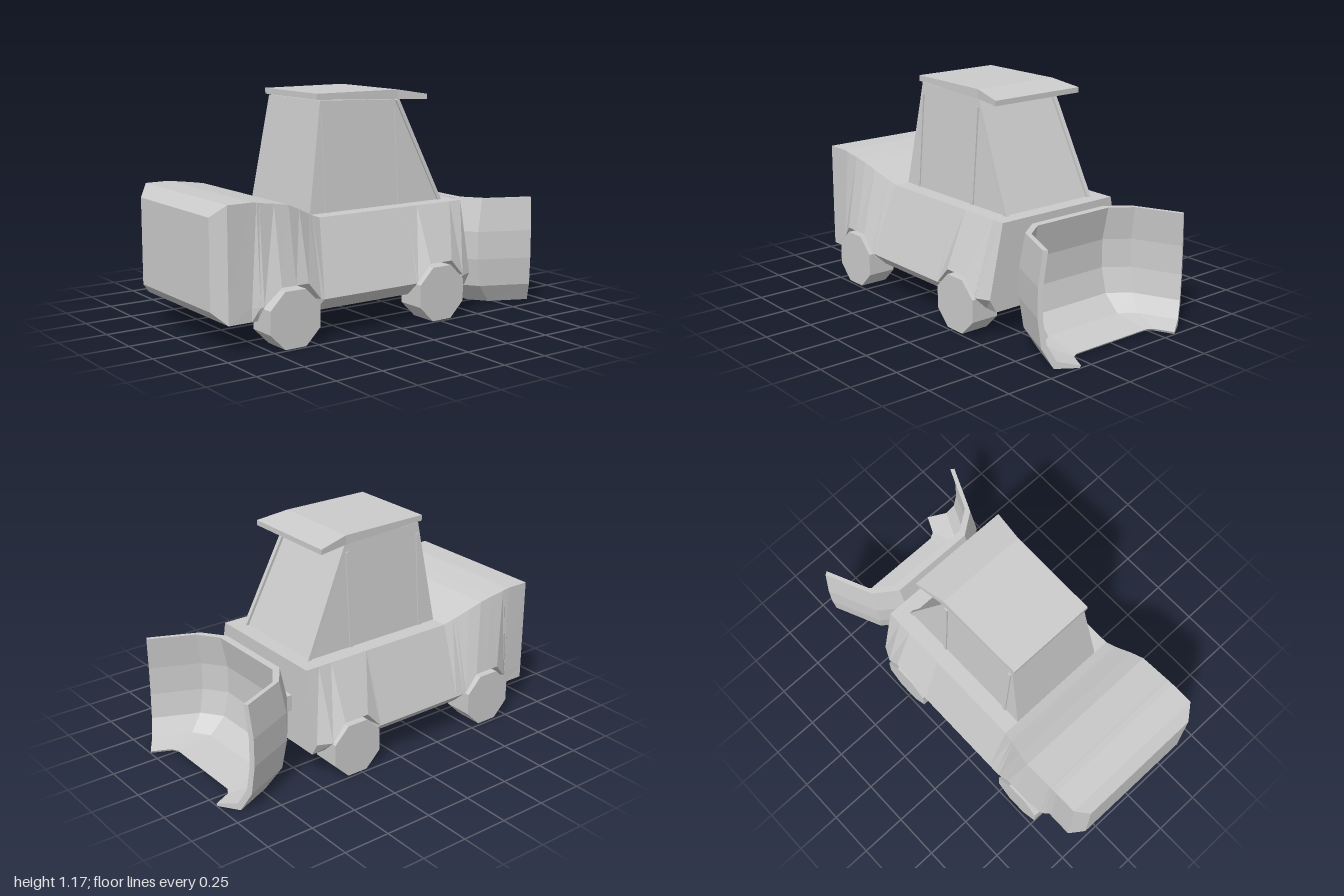
import * as THREE from 'three';

const material = new THREE.MeshStandardMaterial({ color: 0xcccccc, flatShading: true });

// Closed loft through rings; point i of a ring faces point n-1-i, so caps are quad strips.
function loft(name, rings) {
  const n = rings[0].length;
  const index = [];
  const quad = (a, b, c, d) => index.push(a, b, c, a, c, d);
  for (let r = 0; r < rings.length - 1; r++) {
    for (let i = 0; i < n; i++) {
      const j = (i + 1) % n;
      quad(r * n + i, r * n + j, (r + 1) * n + j, (r + 1) * n + i);
    }
  }
  const last = (rings.length - 1) * n;
  for (let i = 0; i < n / 2 - 1; i++) {
    quad(i, n - 1 - i, n - 2 - i, i + 1);
    quad(last + i, last + i + 1, last + n - 2 - i, last + n - 1 - i);
  }
  // Turn the faces outward if the enclosed volume is negative
  const points = rings.flat().map((p) => new THREE.Vector3(...p));
  let volume = 0;
  for (let k = 0; k < index.length; k += 3) {
    const [a, b, c] = [0, 1, 2].map((m) => points[index[k + m]]);
    volume += a.dot(b.clone().cross(c));
  }
  if (volume < 0) index.reverse();
  const indexed = new THREE.BufferGeometry().setFromPoints(points);
  indexed.setIndex(index);
  const geometry = indexed.toNonIndexed();
  geometry.computeVertexNormals();
  return named(name, geometry);
}

function named(name, geometry) {
  const mesh = new THREE.Mesh(geometry, material);
  mesh.name = name;
  return mesh;
}

// Symmetric ring at depth z from its right half, listed from top to bottom
function mirrored(z, half) {
  const side = half.map(([x, y]) => [x, y, z]);
  return [...side, ...side.map(([x, y]) => [-x, y, z]).reverse()];
}

// Thin square bar between two points
function bar(name, from, to, width, depth) {
  const a = new THREE.Vector3(...from);
  const b = new THREE.Vector3(...to);
  const mesh = named(name, new THREE.BoxGeometry(width, a.distanceTo(b), depth));
  mesh.position.copy(a).add(b).multiplyScalar(0.5);
  mesh.quaternion.setFromUnitVectors(new THREE.Vector3(0, 1, 0), b.sub(a).normalize());
  return mesh;
}

// Hull and engine hood in one loft; open arches run across above both axles
function createBody() {
  // z, top x, top y, side x, side y, bottom x, bottom y
  const stations = [
    [-0.49, 0.36, 0.585, 0.44, 0.21, 0.4, 0.14],
    [-0.415, 0.36, 0.585, 0.475, 0.21, 0.4, 0.14],
    [-0.416, 0.36, 0.585, 0.475, 0.215, 0.4, 0.205],
    [-0.34, 0.36, 0.585, 0.475, 0.3, 0.4, 0.295],
    [-0.2, 0.36, 0.585, 0.475, 0.3, 0.4, 0.295],
    [-0.122, 0.36, 0.585, 0.475, 0.215, 0.4, 0.205],
    [-0.115, 0.36, 0.585, 0.475, 0.21, 0.4, 0.14],
    [0.4, 0.36, 0.585, 0.475, 0.21, 0.4, 0.14],
    [0.45, 0.37, 0.603, 0.475, 0.21, 0.4, 0.14],
    [0.47, 0.375, 0.612, 0.475, 0.215, 0.4, 0.205],
    [0.54, 0.395, 0.645, 0.475, 0.3, 0.4, 0.295],
    [0.61, 0.41, 0.675, 0.475, 0.3, 0.4, 0.295],
    [0.69, 0.41, 0.688, 0.475, 0.3, 0.4, 0.295],
    [0.77, 0.41, 0.699, 0.45, 0.215, 0.41, 0.205],
    [0.785, 0.41, 0.702, 0.44, 0.21, 0.41, 0.14],
    [0.815, 0.41, 0.705, 0.412, 0.21, 0.41, 0.14],
    [0.94, 0.41, 0.705, 0.41, 0.21, 0.41, 0.14],
    [1.0, 0.345, 0.645, 0.345, 0.25, 0.345, 0.2],
  ];
  return loft('body', stations.map(([z, xt, yt, xs, ys, xb, yb]) =>
    mirrored(z, [[xt, yt], [xs, ys], [xb, yb]])));
}

function createCab() {
  const cab = new THREE.Group();
  cab.name = 'cab';
  cab.add(loft('cabin', [
    [[0.275, 0.58, 0.4], [0.275, 0.58, -0.41], [-0.275, 0.58, -0.41], [-0.275, 0.58, 0.4]],
    [[0.235, 1.135, 0.31], [0.235, 1.12, -0.155], [-0.235, 1.12, -0.155], [-0.235, 1.135, 0.31]],
  ]));
  // Roof, sloping and widening over the sloped window
  cab.add(loft('roof', [
    mirrored(0.33, [[0.24, 1.17], [0.24, 1.14]]),
    mirrored(-0.16, [[0.245, 1.17], [0.245, 1.122]]),
    mirrored(-0.33, [[0.272, 1.142], [0.272, 1.115]]),
  ]));
  for (const s of [1, -1]) {
    for (const z of [0.3, -0.15]) {
      cab.add(bar('sideStrip', [s * 0.275, 0.585, z], [s * 0.24, 1.08, z], 0.014, 0.02));
    }
    cab.add(bar('windowPillar', [s * 0.272, 0.58, -0.415], [s * 0.235, 1.12, -0.16], 0.022, 0.02));
  }
  return cab;
}

// Scoop blade: one curved section swept across a flat centre and two angled wings
function createBlade() {
  // Height and reach (0 = back of blade, 1 = cutting lip)
  const outer = [[0.575, 0.11], [0.4, 0], [0.25, 0], [0.1, 0.09], [0, 0.38], [0, 0.97]];
  const inner = [[0.575, 0.22], [0.4, 0.12], [0.25, 0.12], [0.12, 0.21], [0.035, 0.45], [0.012, 1]];
  const section = [...outer, ...inner.reverse()];
  // Back and lip position in plan for each station
  const plan = [
    { back: [0.484, -0.885], lip: [0.315, -1.0] },
    { back: [0.365, -0.615], lip: [0.27, -0.905] },
    { back: [0.235, -0.52], lip: [0.235, -0.885] },
  ];
  const ring = ({ back, lip }, s) => section.map(([y, t]) => [
    s * THREE.MathUtils.lerp(back[0], lip[0], t), y, THREE.MathUtils.lerp(back[1], lip[1], t)]);
  return loft('blade', [
    ...plan.map((p) => ring(p, 1)),
    ...plan.slice().reverse().map((p) => ring(p, -1)),
  ]);
}

// Octagonal wheels on thin axles
function createWheels(z) {
  const set = new THREE.Group();
  set.name = 'wheelSet';
  const wheelGeometry = new THREE.CylinderGeometry(0.1515, 0.1515, 0.155, 8)
    .rotateY(Math.PI / 8).rotateZ(Math.PI / 2);
  for (const s of [1, -1]) {
    const wheel = named('wheel', wheelGeometry);
    wheel.position.x = s * 0.4065;
    set.add(wheel);
  }
  set.add(named('axle', new THREE.CylinderGeometry(0.032, 0.032, 0.68, 8).rotateZ(Math.PI / 2)));
  set.position.set(0, 0.14, z);
  return set;
}

export function createModel() {
  const model = new THREE.Group();
  model.name = 'bulldozer';
  const mount = named('bladeMount', new THREE.BoxGeometry(0.47, 0.085, 0.06));
  mount.position.set(0, 0.36, -0.5);
  model.add(createBody(), createCab(), createBlade(), mount, createWheels(0.62), createWheels(-0.27));
  return model;
}
